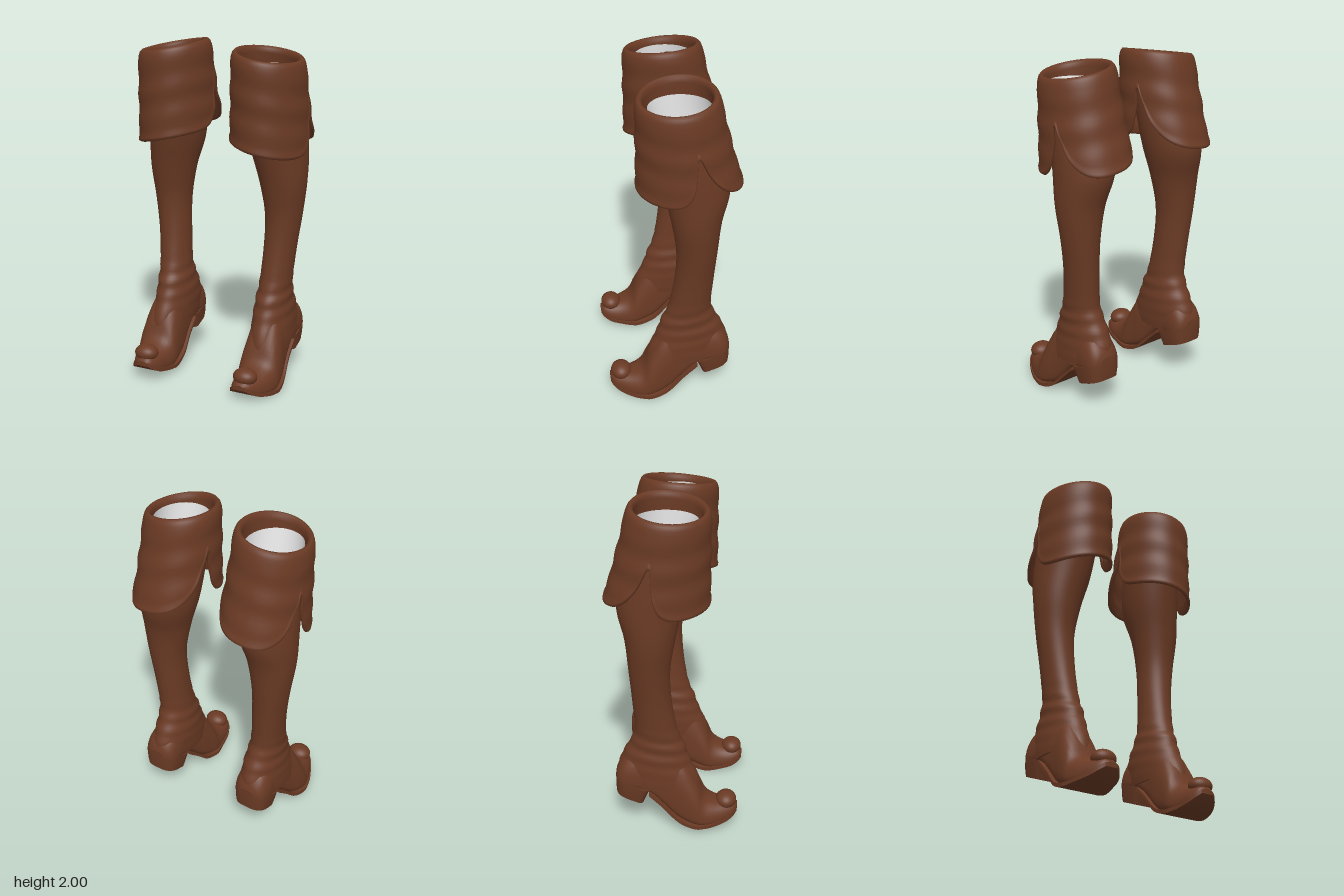
import * as THREE from 'three';
import { toCreasedNormals } from 'three/addons/utils/BufferGeometryUtils.js';

const leather = new THREE.MeshStandardMaterial({ color: 0x6a3a24, side: THREE.DoubleSide });
leather.name = 'brown leather';
const liningWhite = new THREE.MeshStandardMaterial({ color: 0xf2f2f2, side: THREE.DoubleSide });
liningWhite.name = 'white lining';

// Skin closed rings of [x, y, z]; side = -1 mirrors the part in x.
function loft(rings, side, capStart = false, capEnd = false) {
  const n = rings[0].length, pos = [], idx = [];
  const tri = (a, b, c) => (side > 0 ? idx.push(a, b, c) : idx.push(a, c, b));
  rings.forEach((r) => r.forEach((p) => pos.push(p[0] * side, p[1], p[2])));
  for (let i = 0; i < rings.length - 1; i++) {
    for (let j = 0; j < n; j++) {
      const k = (j + 1) % n, a = i * n;
      tri(a + j, a + k, a + n + k);
      tri(a + j, a + n + k, a + n + j);
    }
  }
  const cap = (ring, flip) => {
    const base = pos.length / 3, mid = [0, 0, 0];
    ring.forEach((p) => {
      pos.push(p[0] * side, p[1], p[2]);
      p.forEach((v, k) => { mid[k] += v / n; });
    });
    pos.push(mid[0] * side, mid[1], mid[2]);
    for (let j = 0; j < n; j++) {
      const k = (j + 1) % n;
      if (flip) tri(base + n, base + k, base + j);
      else tri(base + n, base + j, base + k);
    }
  };
  if (capStart) cap(rings[0], true);
  if (capEnd) cap(rings[rings.length - 1], false);
  const g = new THREE.BufferGeometry();
  g.setAttribute('position', new THREE.Float32BufferAttribute(pos, 3));
  g.setIndex(idx);
  g.computeVertexNormals();
  return g;
}

// Smooth a few station rows into many.
function smooth(rows, count) {
  const splines = rows[0].map((_, k) => new THREE.SplineCurve(rows.map((r) => new THREE.Vector2(r[k], 0))));
  return Array.from({ length: count + 1 }, (_, i) => splines.map((s) => s.getPoint(i / count).x));
}
const around = (n, fn) => Array.from({ length: n }, (_, j) => fn((j / n) * Math.PI * 2));
const soft = (v, e) => Math.sign(v) * Math.abs(v) ** e;

// Leg stations: height, inner x, outer x, front z, back z
const LEG = [
  [0.24, 0.22, 0.45, 0.165, -0.32], [0.3, 0.215, 0.45, 0.15, -0.328], [0.4, 0.215, 0.442, 0.105, -0.31],
  [0.5, 0.228, 0.432, 0.07, -0.262], [0.6, 0.243, 0.43, 0.03, -0.222], [0.8, 0.255, 0.447, -0.003, -0.23],
  [1.0, 0.255, 0.475, -0.01, -0.245], [1.2, 0.22, 0.5, 0.02, -0.265], [1.4, 0.165, 0.5, 0.06, -0.31],
  [1.65, 0.14, 0.488, 0.105, -0.265], [1.87, 0.135, 0.463, 0.145, -0.215],
];
const legRings = (inset, from, to) => smooth(LEG, 60)
  .filter((r) => r[0] >= from && r[0] <= to)
  .map(([y, x0, x1, zf, zb]) => around(48, (a) => {
    const fold = 0.004 * Math.exp(-(((y - 0.5) / 0.13) ** 2)) * Math.sin(y * 75 + Math.cos(a) * 2);
    return [(x0 + x1) / 2 + ((x1 - x0) / 2 - inset + fold) * Math.sin(a), y,
      (zf + zb) / 2 + ((zf - zb) / 2 - inset + fold) * Math.cos(a)];
  }));

// Foot stations: z, bottom y, top y, centre x, half width
const FOOT = [
  [-0.332, 0.28, 0.33, 0.335, 0.05], [-0.31, 0.25, 0.38, 0.335, 0.09], [-0.25, 0.235, 0.44, 0.335, 0.11],
  [-0.13, 0.205, 0.48, 0.335, 0.105], [-0.05, 0.13, 0.48, 0.335, 0.105], [0.03, 0.05, 0.44, 0.335, 0.115],
  [0.09, 0.018, 0.38, 0.338, 0.122], [0.15, 0.004, 0.275, 0.338, 0.127], [0.19, 0.004, 0.185, 0.337, 0.122],
  [0.25, 0.012, 0.145, 0.335, 0.108], [0.32, 0.03, 0.13, 0.325, 0.085], [0.365, 0.055, 0.12, 0.32, 0.058],
  [0.385, 0.075, 0.1, 0.317, 0.03],
];
const footRings = () => smooth(FOOT, 48).map(([z, yb, yt, cx, w]) => around(32, (a) => {
  const mid = yb + 0.22 * (yt - yb), s = Math.sin(a);
  return [cx + w * soft(Math.cos(a), 0.75), s > 0 ? mid + (yt - mid) * s : mid + (mid - yb) * soft(s, 0.6), z];
}));
const soleRings = () => smooth(FOOT.slice(3), 36).map(([z, yb, , cx, w]) => {
  const h = w + 0.007;
  return [[cx + h, yb - 0.004, z], [cx + h, yb + 0.018, z], [cx - h, yb + 0.018, z], [cx - h, yb - 0.004, z]];
});

// Tilted D-shaped heel: front z, front y, back z, back y, half width
const heelRings = () => [
  [-0.165, 0.13, -0.332, 0.19, 0.098], [-0.15, 0.17, -0.335, 0.235, 0.106], [-0.125, 0.225, -0.335, 0.3, 0.112],
].map(([zf, yf, zb, yb, w]) => around(40, (a) => {
  const c = Math.cos(a), u = c > 0 ? 0.5 - 0.5 * soft(c, 0.25) : 0.5 + 0.5 * soft(-c, 0.85);
  return [0.335 + w * soft(Math.sin(a), 0.6), yf + (yb - yf) * u, zf + (zb - zf) * u];
}));

// Folded cuff: two flaps split by a slit on each side, with a rolled rim on top
function cuffRings() {
  const CX = 0.297;
  const columns = around(224, (a) => {
    const s = Math.sin(a), c = Math.cos(a);
    const rimY = 1.942 - 0.15 * 0.2 * s - 0.06 * (0.22 * c);
    const d = -0.085 + 0.29 * c + 0.15;
    const slit = 0.3 * Math.exp(-Math.max(0, Math.abs(d) - 0.011) / (d > 0 ? 0.045 : 0.08));
    const hem = 1.405 - 0.2 * 0.23 * s + slit;
    const at = (y, inset) => {
      const t = Math.min(1, Math.max(0, (rimY - y) / 0.54));
      const fold = 0.004 * Math.sin(y * 38 + 2 * s) * Math.sin(t * Math.PI);
      const rx = 0.209 + 0.025 * t - inset + fold;
      const zf = 0.207, zb = -0.25 - 0.137 * t ** 1.2;
      const rz = (zf - zb) / 2 - inset + fold;
      const back = c < 0 ? 1 - 0.15 * t : 1;
      return [CX + rx * soft(s, back) * (1 - 0.04 * c), y, (zf + zb) / 2 + rz * c];
    };
    const col = [at(hem + 0.06, 0.02), at(hem + 0.012, 0.018), at(hem, 0.008), at(hem + 0.006, -0.003), at(hem + 0.02, -0.005)];
    for (let i = 0; i <= 16; i++) col.push(at(THREE.MathUtils.lerp(hem + 0.034, rimY - 0.06, i / 16), 0));
    [[0.002, 0.035], [0.008, 0.014], [0.018, 0.002], [0.03, 0.002], [0.041, 0.016], [0.047, 0.04], [0.048, 0.13]]
      .forEach(([inset, drop]) => col.push(at(rimY - drop, inset)));
    return col;
  });
  return columns[0].map((_, i) => columns.map((col) => col[i]));
}

function createBoot(side) {
  const boot = new THREE.Group();
  const add = (name, geometry, material = leather) => {
    const mesh = new THREE.Mesh(geometry, material);
    mesh.name = name;
    boot.add(mesh);
    return mesh;
  };
  add('leg', loft(legRings(0, 0, 2), side, true));
  add('upperLining', loft(legRings(0.006, 1.45, 2), side), liningWhite);
  add('ankleLining', loft(legRings(0.008, 0.6, 0.75), side, true), liningWhite);
  add('cuff', loft(cuffRings(), side));
  add('foot', loft(footRings(), side, true, true));
  add('sole', toCreasedNormals(loft(soleRings(), side, true, true), 0.7));
  add('heel', toCreasedNormals(loft(heelRings(), side, true, true), 0.7));
  // Curled-up toe tip
  const toe = add('toeCurl', new THREE.SphereGeometry(1, 28, 18));
  toe.scale.set(0.072, 0.05, 0.062);
  toe.position.set(0.325 * side, 0.133, 0.318);
  return boot;
}

export function createModel() {
  const model = new THREE.Group();
  model.name = 'boots';
  const left = createBoot(1);
  left.name = 'leftBoot';
  const right = createBoot(-1);
  right.name = 'rightBoot';
  right.position.y = 0.03;
  model.add(left, right);
  return model;
}
